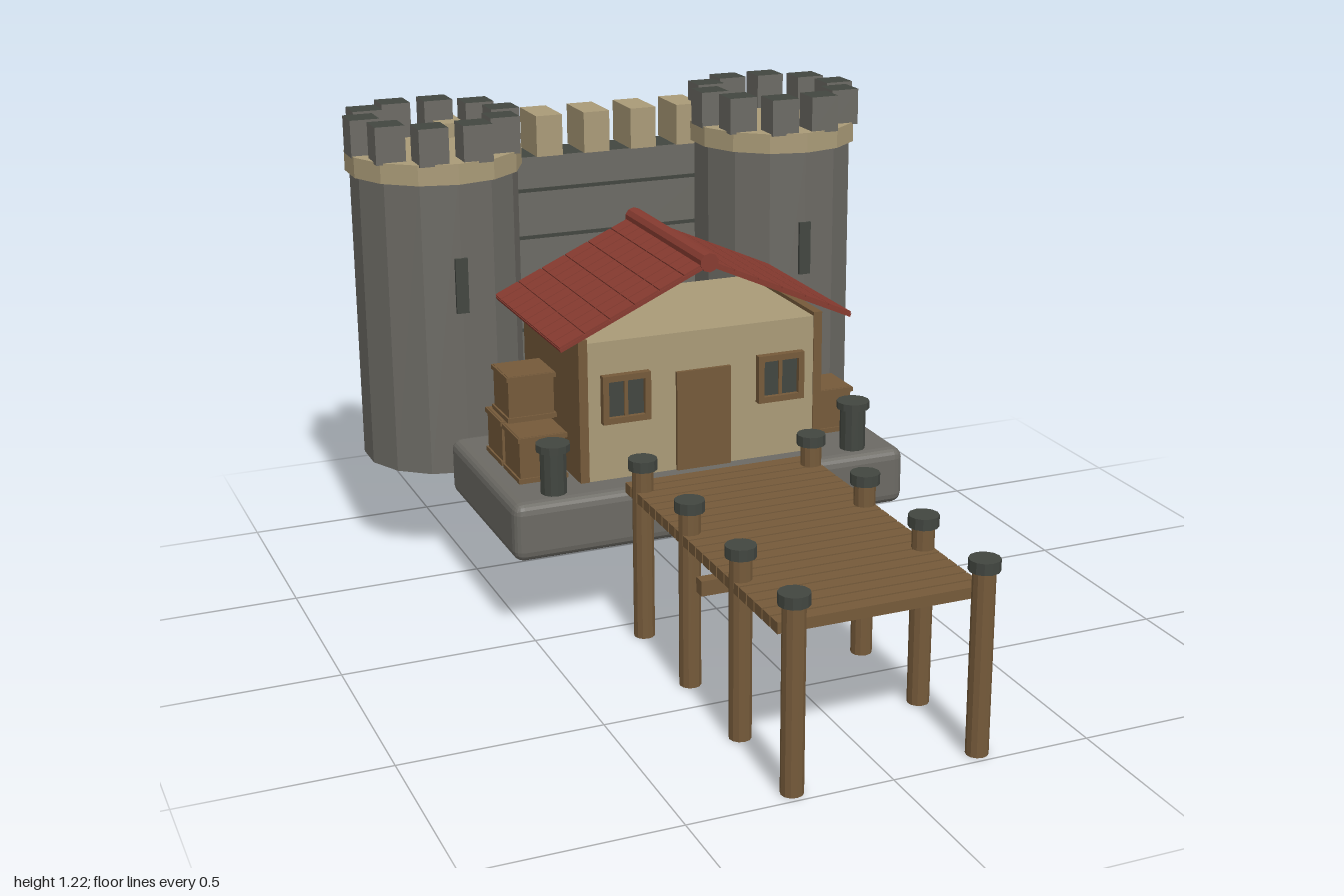
import * as THREE from 'three';
import { RoundedBoxGeometry } from 'three/addons/geometries/RoundedBoxGeometry.js';

const mat = (name, color, flatShading = false) => {
  const m = new THREE.MeshStandardMaterial({ color, flatShading });
  m.name = name;
  return m;
};

export function createModel() {
  const root = new THREE.Group();
  root.name = 'gatehouse';
  const stone = mat('grey stone', 0x6c6a64, true);
  const tan = mat('sandstone', 0xaa9b78, true);
  const wood = mat('wood', 0x755a3a, true);
  const red = mat('roof tile', 0x873b30, true);
  const dark = mat('dark iron', 0x424640, true);

  const group = (name, parent = root) => {
    const g = new THREE.Group();
    g.name = name;
    parent.add(g);
    return g;
  };
  const add = (parent, name, geo, material, x, y, z) => {
    const m = new THREE.Mesh(geo, material);
    m.name = name;
    m.position.set(x, y, z);
    parent.add(m);
    return m;
  };
  // box given by its extents
  const box = (parent, name, material, x0, x1, y0, y1, z0, z1) =>
    add(parent, name, new THREE.BoxGeometry(x1 - x0, y1 - y0, z1 - z0), material,
      (x0 + x1) / 2, (y0 + y1) / 2, (z0 + z1) / 2);
  // upright cylinder from y0 to y1
  const cyl = (parent, name, material, r, y0, y1, x, z, sides) =>
    add(parent, name, new THREE.CylinderGeometry(r, r, y1 - y0, sides), material, x, (y0 + y1) / 2, z);
  // stone sides under a dark weathered top
  const darkTop = [stone, stone, dark, stone, stone, stone];

  // round towers with crenellations and arrow slits
  for (const s of [-1, 1]) {
    const t = group(s > 0 ? 'leftTower' : 'rightTower');
    const cx = 0.5 * s, cz = -0.765;
    cyl(t, 'towerBody', stone, 0.225, 0.27, 1.08, cx, cz, 14);
    cyl(t, 'towerRim', tan, 0.237, 1.07, 1.125, cx, cz, 14);
    for (let i = 0; i < 10; i++) {
      const a = (i * Math.PI) / 5, x = cx + 0.193 * Math.cos(a), z = cz + 0.193 * Math.sin(a);
      box(t, 'towerMerlon', darkTop, x - 0.04, x + 0.04, 1.12, 1.22, z - 0.04, z + 0.04);
    }
    box(t, 'arrowSlit', dark, cx - 0.017, cx + 0.017, 0.72, 0.87, -0.56, -0.535);
  }

  // rear curtain wall with its merlons and course lines
  const wall = group('curtainWall');
  box(wall, 'wallBody', darkTop, -0.46, 0.46, 0.4, 1.05, -0.99, -0.865);
  for (let i = -3; i <= 3; i++)
    box(wall, 'wallMerlon', tan, i * 0.14 - 0.038, i * 0.14 + 0.038, 1.05, 1.165, -0.998, -0.855);
  for (const y of [0.55, 0.685, 0.82, 0.955])
    box(wall, 'courseLine', dark, -0.46, 0.46, y - 0.005, y + 0.005, -0.87, -0.862);

  // stone platform
  add(root, 'platform', new RoundedBoxGeometry(1.09, 0.155, 0.56, 2, 0.028), stone, 0, 0.2925, -0.278);

  // house
  const house = group('house');
  box(house, 'houseWalls', tan, -0.318, 0.318, 0.365, 0.74, -0.52, -0.09);
  for (const s of [-1, 1]) {
    const x = 0.326 * s;
    box(house, 'sidePanel', wood, x - 0.012, x + 0.012, 0.365, 0.75, -0.522, -0.088);
  }
  box(house, 'door', wood, -0.075, 0.075, 0.37, 0.637, -0.1, -0.08);

  // windows: frame bars around two dark panes
  for (const s of [-1, 1]) {
    const w = group('window', house), x = 0.215 * s;
    box(w, 'pane', dark, x - 0.052, x + 0.052, 0.537, 0.638, -0.092, -0.083);
    for (const e of [-1, 1]) {
      box(w, 'frameSide', wood, x + e * 0.057 - 0.008, x + e * 0.057 + 0.008, 0.525, 0.653, -0.092, -0.07);
      box(w, 'frameBar', wood, x - 0.065, x + 0.065, 0.589 + e * 0.056 - 0.008, 0.589 + e * 0.056 + 0.008, -0.092, -0.07);
    }
    box(w, 'mullion', wood, x - 0.005, x + 0.005, 0.537, 0.638, -0.092, -0.078);
  }

  // tiled roof: two thin slopes with rows of tiles, and a round ridge
  const roof = group('roof');
  const run = 0.4, drop = 0.18, len = Math.hypot(run, drop), z0 = -0.57, depth = 0.525;
  for (const s of [-1, 1]) {
    const slope = group('roofSlope', roof);
    slope.position.set(0, 0.925, 0);
    slope.rotation.z = -s * Math.atan2(drop, run);
    box(slope, 'roofBoard', red, Math.min(0, s * len), Math.max(0, s * len), -0.006, 0.003, z0, z0 + depth);
    const rows = 6, cols = 10, rw = len / rows, cw = depth / cols;
    for (let i = 0; i < rows; i++)
      for (let j = 0; j < cols; j++)
        add(slope, 'tile', new THREE.BoxGeometry(rw - 0.004, 0.006, cw - 0.004), red,
          s * (i + 0.5) * rw, 0.005, z0 + (j + 0.5) * cw);
  }
  const ridge = add(roof, 'roofRidge', new THREE.CylinderGeometry(0.025, 0.025, depth + 0.005, 10), red, 0, 0.928, z0 + depth / 2);
  ridge.rotation.x = Math.PI / 2;

  // bollards on the platform
  for (const s of [-1, 1]) {
    const b = group('bollard');
    cyl(b, 'bollardBody', dark, 0.034, 0.36, 0.485, 0.42 * s, -0.062, 12);
    cyl(b, 'bollardCap', dark, 0.044, 0.483, 0.502, 0.42 * s, -0.062, 12);
  }

  // crates beside the house
  const crate = (x, y, z) => {
    const c = group('crate');
    box(c, 'crateBody', wood, x - 0.061, x + 0.061, y, y + 0.125, z - 0.061, z + 0.061);
    for (const h of [0.003, 0.112])
      box(c, 'crateBand', wood, x - 0.066, x + 0.066, y + h, y + h + 0.012, z - 0.066, z + 0.066);
  };
  crate(0.415, 0.37, -0.25);
  crate(-0.42, 0.37, -0.35);
  crate(-0.42, 0.37, -0.205);
  crate(-0.42, 0.508, -0.285);

  // plank bridge on capped posts
  const bridge = group('bridge');
  for (let i = 0; i < 22; i++) {
    const z = 0.03 + i * 0.0419;
    box(bridge, 'plank', wood, -0.255, 0.255, 0.37, 0.397, z - 0.018, z + 0.018);
  }
  box(bridge, 'crossBeam', wood, -0.25, 0.25, 0.28, 0.318, 0.463, 0.495);
  for (const s of [-1, 1])
    for (const z of [0.075, 0.38, 0.68, 0.962]) {
      cyl(bridge, 'post', wood, 0.027, 0, 0.455, 0.232 * s, z, 12);
      cyl(bridge, 'postCap', dark, 0.037, 0.452, 0.48, 0.232 * s, z, 12);
    }
  return root;
}
